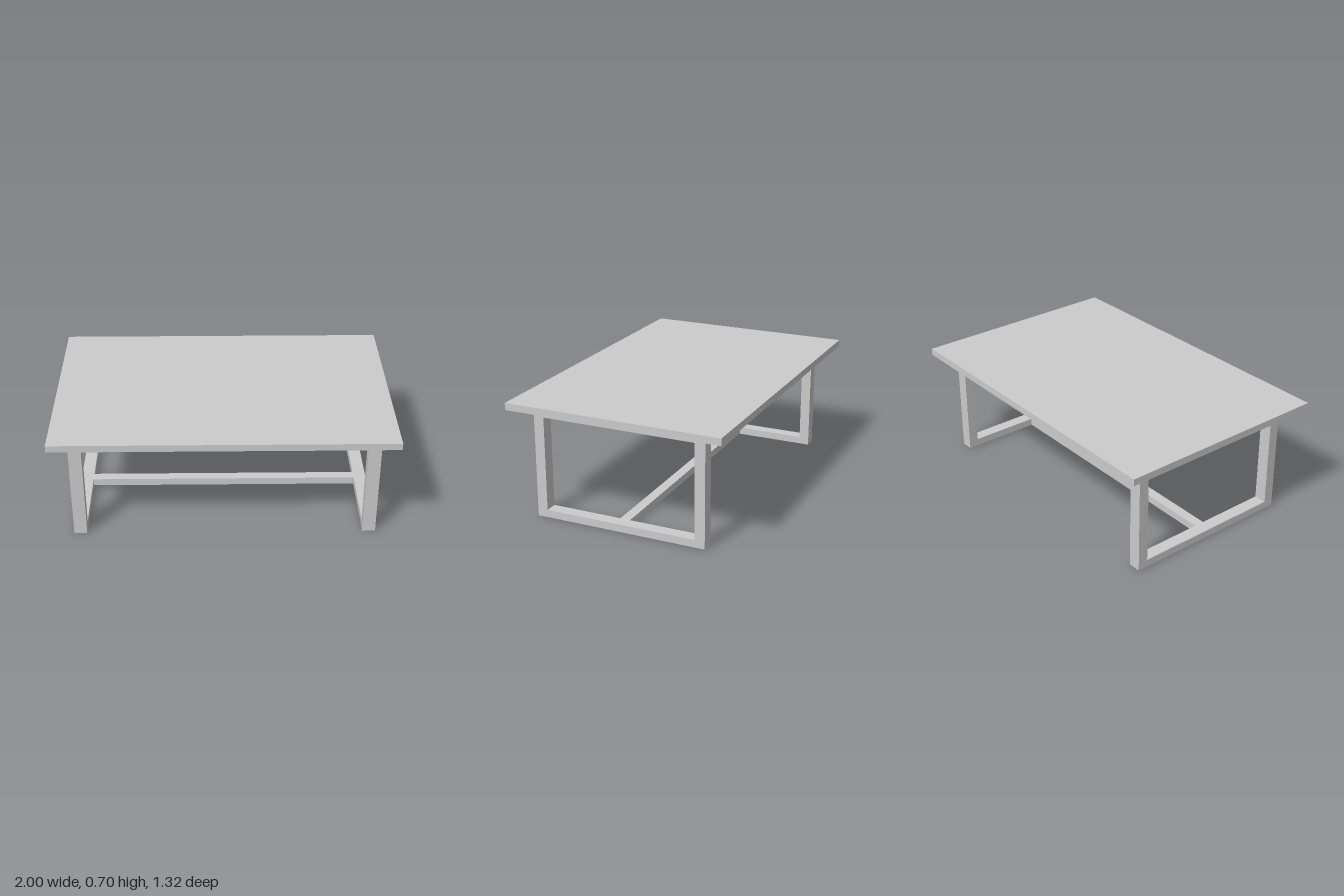
import * as THREE from 'three';

const material = new THREE.MeshStandardMaterial({ color: 0xcccccc, flatShading: true });

const TOP_Y = 0.705, UNDER_Y = 0.663;   // table top faces
const RAIL_H = 0.046;                   // rail height
const HALF_Z = 0.53, LEG_Z = 0.062;     // end frame half depth and leg depth
const LEG_X = 0.077;                    // end frame thickness
const INNER_X = 0.826, OFFSET_X = 0.006; // inner face of end frames, base offset

function box(name, w, h, d, x, y, z) {
  const mesh = new THREE.Mesh(new THREE.BoxGeometry(w, h, d), material);
  mesh.name = name;
  mesh.position.set(x, y, z);
  return mesh;
}

// Closed rectangular frame: two legs joined by a top and a bottom rail
function endFrame(name, x) {
  const rect = (path, hz, y0, y1) =>
    path.moveTo(-hz, y0).lineTo(hz, y0).lineTo(hz, y1).lineTo(-hz, y1).closePath();
  const outline = new THREE.Shape();
  rect(outline, HALF_Z, 0, UNDER_Y);
  const opening = new THREE.Path();
  rect(opening, HALF_Z - LEG_Z, RAIL_H, UNDER_Y - RAIL_H);
  outline.holes.push(opening);
  const geometry = new THREE.ExtrudeGeometry(outline, { depth: LEG_X, bevelEnabled: false });
  geometry.translate(0, 0, -LEG_X / 2).rotateY(Math.PI / 2);
  const mesh = new THREE.Mesh(geometry, material);
  mesh.name = name;
  mesh.position.x = x;
  return mesh;
}

export function createModel() {
  const table = new THREE.Group();
  table.name = 'table';
  table.add(box('tableTop', 2, TOP_Y - UNDER_Y, 1.32, 0, (TOP_Y + UNDER_Y) / 2, 0));

  const base = new THREE.Group();
  base.name = 'base';
  base.position.x = OFFSET_X;
  table.add(base);

  // End frames
  const frameX = INNER_X + LEG_X / 2;
  base.add(endFrame('leftEndFrame', frameX), endFrame('rightEndFrame', -frameX));

  // Long rails under the top: front, middle and back
  const railZ = HALF_Z - LEG_Z / 2;
  for (const [name, z] of [['frontRail', railZ], ['middleRail', 0], ['backRail', -railZ]]) {
    base.add(box(name, 2 * INNER_X, RAIL_H, LEG_Z, 0, UNDER_Y - RAIL_H / 2, z));
  }

  // Floor stretcher between the end frames
  base.add(box('floorStretcher', 2 * INNER_X, RAIL_H, LEG_Z, 0, RAIL_H / 2, 0));
  return table;
}
